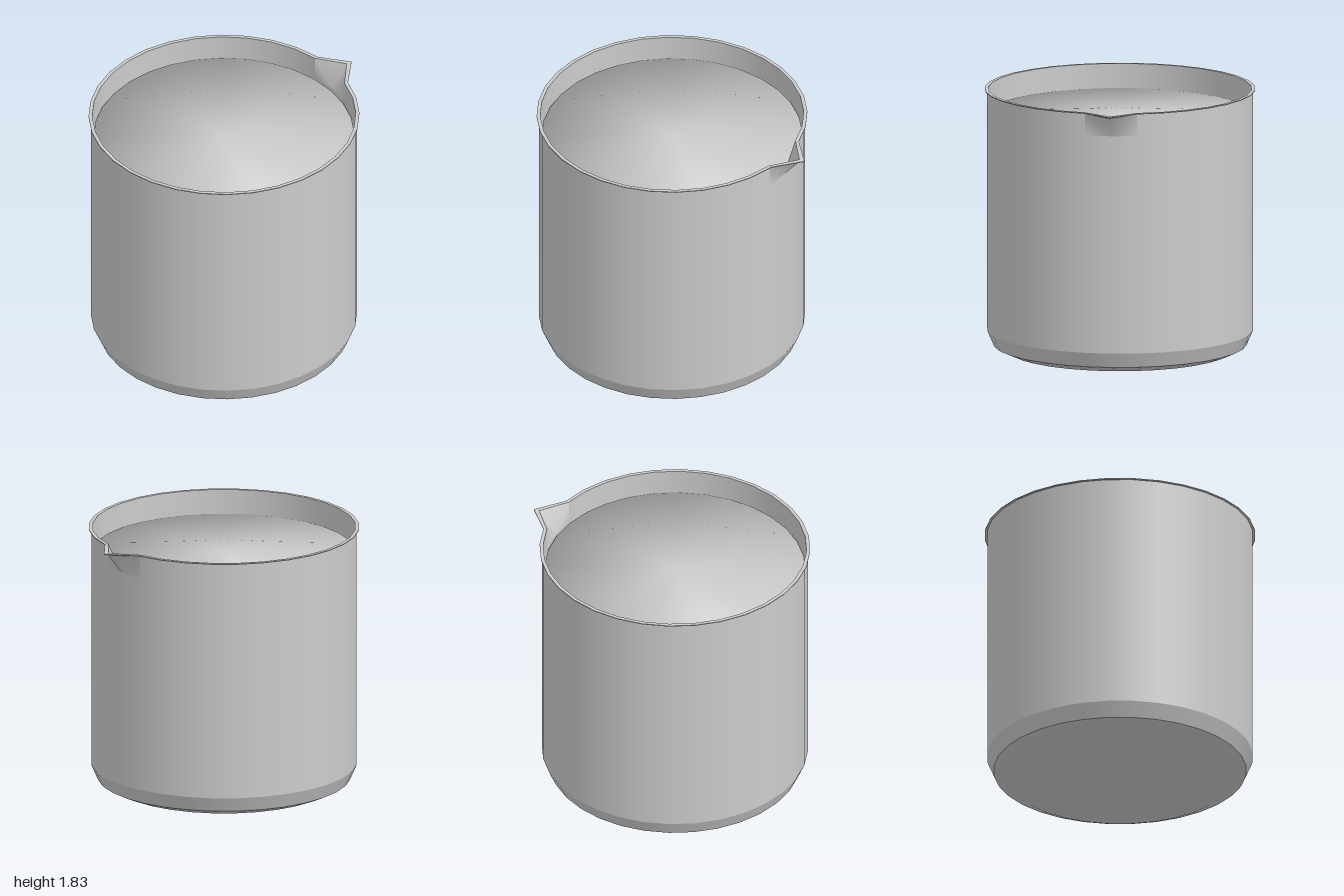
import * as THREE from 'three';

const SIDES = 32, STEP = (Math.PI * 2) / SIDES;
const CENTRE_X = -0.07;   // the spout pushes the bowl axis off centre
const SPOUT_Y = 1.67, TOP = 1.83;

const material = new THREE.MeshStandardMaterial({ color: 0xcccccc, side: THREE.DoubleSide });

export function createModel() {
  const group = new THREE.Group();

  const add = (name, geometry) => {
    const mesh = new THREE.Mesh(geometry, material);
    mesh.name = name;
    mesh.position.x = CENTRE_X;
    group.add(mesh);
    return mesh;
  };

  // Turned part; with a gap, the two sides facing +x are left open for the spout
  const turned = (name, points, gap = false) => {
    const profile = points.map(([r, y]) => new THREE.Vector2(r, y));
    add(name, gap
      ? new THREE.LatheGeometry(profile, SIDES - 2, Math.PI / 2 + STEP, Math.PI * 2 - 2 * STEP)
      : new THREE.LatheGeometry(profile, SIDES));
  };

  // V-shaped spout: a folded sheet from the wall out to the tip
  const spout = (name, radius, tip) => {
    const c = radius * Math.cos(STEP), s = radius * Math.sin(STEP);
    const geometry = new THREE.BufferGeometry();
    geometry.setAttribute('position', new THREE.Float32BufferAttribute([
      radius, SPOUT_Y, 0,
      tip, TOP, 0,
      c, TOP, s,
      c, SPOUT_Y, s,
      c, TOP, -s,
      c, SPOUT_Y, -s,
    ], 3));
    geometry.setIndex([0, 1, 2, 0, 2, 3, 0, 4, 1, 0, 5, 4]);
    geometry.computeVertexNormals();
    add(name, geometry);
  };

  // Outer shell: rounded base, bevel and wall, split where the edges are sharp
  turned('base', [[0, 0], [0.77, 0], [0.87, 0.045]]);
  turned('bevel', [[0.87, 0.045], [0.915, 0.15]]);
  turned('outerWall', [[0.915, 0.15], [0.915, SPOUT_Y]]);
  turned('outerWallTop', [[0.915, SPOUT_Y], [0.915, TOP]], true);
  spout('outerSpout', 0.915, 1.045);

  // Inner shell
  turned('innerWallTop', [[0.905, TOP], [0.905, SPOUT_Y]], true);
  turned('innerWall', [[0.905, SPOUT_Y], [0.905, 0.16]]);
  turned('innerBase', [[0.905, 0.16], [0.86, 0.06], [0, 0.03]]);
  spout('innerSpout', 0.905, 1.03);

  // Thin rim that follows the spout
  const outline = (radius, tip) => Array.from({ length: SIDES }, (_, i) => {
    const r = i === 0 ? tip : radius;
    return new THREE.Vector2(r * Math.cos(i * STEP), r * Math.sin(i * STEP));
  });
  const rimShape = new THREE.Shape(outline(0.93, 1.07));
  rimShape.holes.push(new THREE.Path(outline(0.905, 1.03)));
  const rim = new THREE.ExtrudeGeometry(rimShape, { depth: 0.006, bevelEnabled: false });
  rim.rotateX(-Math.PI / 2).translate(0, TOP - 0.006, 0);
  add('rim', rim);

  // Liquid filling the vessel up to the foot of the spout, softly shaded at its edge
  turned('liquid', [[0, 0.07], [0.84, 0.07], [0.895, 0.17], [0.895, 1.66], [0, 1.66]]);

  return group;
}
